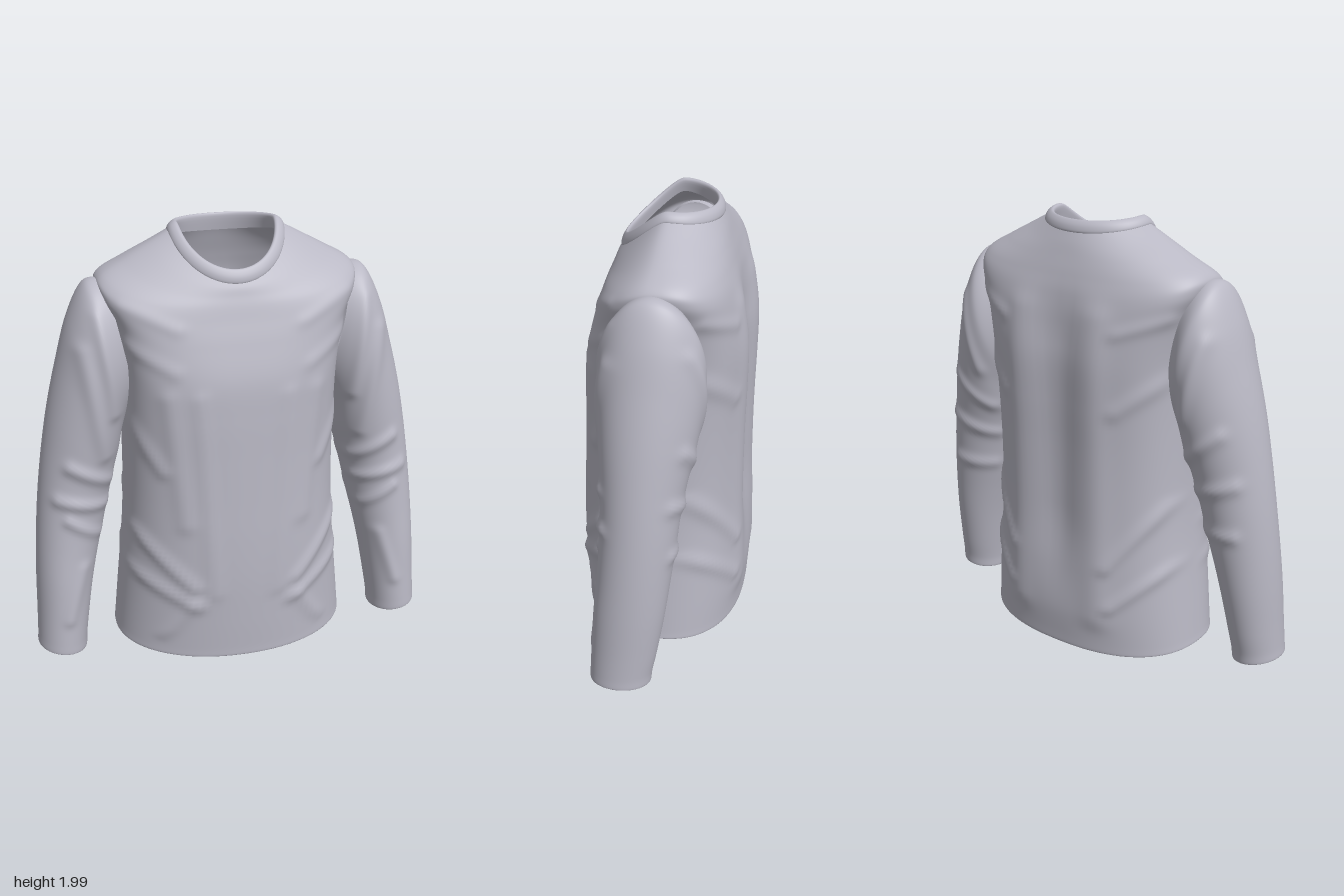
import * as THREE from 'three';

const SEG = 112;

// Smooth interpolation through the rows of a table, t from 0 to 1
function sampleRows(rows, t) {
  const f = t * (rows.length - 1);
  const i = Math.min(Math.floor(f), rows.length - 2);
  const u = f - i;
  const at = (k) => rows[Math.max(0, Math.min(rows.length - 1, k))];
  return rows[i].map((b, n) => {
    const a = at(i - 1)[n], c = at(i + 1)[n], d = at(i + 2)[n];
    return b + 0.5 * u * (c - a + u * (2 * a - 5 * b + 4 * c - d + u * (3 * (b - c) + d - a)));
  });
}

// Closed-ring surface through point(t, angle)
function loft(steps, point, flip = false) {
  const pos = [], idx = [];
  for (let i = 0; i <= steps; i++) {
    for (let j = 0; j < SEG; j++) pos.push(...point(i / steps, (j / SEG) * Math.PI * 2));
  }
  for (let i = 0; i < steps; i++) {
    for (let j = 0; j < SEG; j++) {
      const a = i * SEG + j, b = i * SEG + ((j + 1) % SEG);
      const c = a + SEG, d = b + SEG;
      if (flip) idx.push(a, b, c, b, d, c);
      else idx.push(a, c, b, b, c, d);
    }
  }
  const g = new THREE.BufferGeometry();
  g.setAttribute('position', new THREE.Float32BufferAttribute(pos, 3));
  g.setIndex(idx);
  g.computeVertexNormals();
  return g;
}

// Cloth folds: face (1 front, -1 back), x0, y0, x1, y1, width, height
const TORSO_FOLDS = [
  [1, 0.20, 1.30, 0.15, 0.35, 0.035, 0.008],
  [1, 0.33, 1.30, 0.27, 0.70, 0.04, 0.010],
  [1, 0.24, 0.38, 0.48, 0.62, 0.03, 0.014],
  [1, 0.22, 0.28, 0.50, 0.42, 0.03, 0.013],
  [1, 0.24, 0.30, 0.38, 0.10, 0.03, 0.010],
  [1, 0.36, 0.95, 0.49, 1.15, 0.03, 0.010],
  [1, 0.28, 1.60, 0.50, 1.70, 0.03, 0.008],
  [1, 0.30, 1.42, 0.49, 1.52, 0.03, 0.008],
  [-1, 0.20, 1.60, 0.22, 0.20, 0.07, 0.014],
  [-1, 0.26, 0.45, 0.48, 0.75, 0.03, 0.013],
  [-1, 0.28, 0.25, 0.50, 0.45, 0.03, 0.013],
  [-1, 0.30, 1.20, 0.49, 1.35, 0.035, 0.010],
  [-1, 0.30, 1.55, 0.50, 1.62, 0.03, 0.009],
];
const SLEEVE_FOLDS = [
  [1, 0.60, 1.65, 0.55, 1.20, 0.03, 0.012],
  [1, 0.68, 1.50, 0.60, 1.00, 0.035, 0.012],
  [1, 0.58, 0.86, 0.76, 0.96, 0.03, 0.016],
  [1, 0.60, 0.74, 0.82, 0.80, 0.028, 0.016],
  [1, 0.64, 0.60, 0.78, 0.70, 0.025, 0.013],
  [1, 0.72, 0.45, 0.80, 0.20, 0.03, 0.010],
  [-1, 0.56, 1.00, 0.74, 1.15, 0.03, 0.014],
  [-1, 0.58, 0.84, 0.80, 0.92, 0.03, 0.015],
  [-1, 0.62, 0.66, 0.80, 0.68, 0.03, 0.013],
  [-1, 0.66, 1.55, 0.57, 1.20, 0.03, 0.012],
];
function foldHeight(folds, x, y, s) {
  let h = 0;
  for (const [face, x0, y0, x1, y1, w, amp] of folds) {
    if (face * s <= 0) continue;
    const dx = x1 - x0, dy = y1 - y0;
    const u = Math.max(0, Math.min(1, ((x - x0) * dx + (y - y0) * dy) / (dx * dx + dy * dy)));
    const d = Math.hypot(x - x0 - u * dx, y - y0 - u * dy) / w;
    h += amp * Math.exp(-d * d) * Math.min(1, Math.abs(s) * 2);
  }
  return h;
}

// Body ring: half width, side y, side z, front y, front z, back y, back z, front and back roundness
function bodyRing([X, sY, sZ, fY, fZ, bY, bZ, ef = 1, eb = 1], a) {
  const c = Math.cos(a), s = Math.sin(a), e = s > 0 ? ef : eb;
  const w = (Math.sqrt(s * s + 0.03) - 0.1732) / 0.8417;
  return [
    X * Math.sign(c) * Math.abs(c) ** e,
    sY + ((s > 0 ? fY : bY) - sY) * w,
    sZ + ((s > 0 ? fZ : bZ) - sZ) * Math.abs(s) ** e,
  ];
}

const TORSO = [
  [0.548, 0.035, 0, 0.014, 0.372, 0.014, -0.367, 0.95, 0.85],
  [0.560, 0.030, 0, 0.008, 0.383, 0.008, -0.378, 0.95, 0.85],
  [0.556, 0.070, 0, 0.055, 0.385, 0.055, -0.382, 0.95, 0.85],
  [0.543, 0.20, 0, 0.20, 0.390, 0.20, -0.390, 0.95, 0.85],
  [0.522, 0.40, 0, 0.40, 0.393, 0.40, -0.385, 0.93, 0.82],
  [0.503, 0.60, 0, 0.60, 0.388, 0.60, -0.377, 0.90, 0.80],
  [0.493, 0.80, 0, 0.80, 0.378, 0.80, -0.375, 0.88, 0.78],
  [0.490, 1.00, 0, 1.00, 0.368, 1.00, -0.375, 0.85, 0.75],
  [0.490, 1.20, -0.01, 1.19, 0.358, 1.20, -0.378, 0.78, 0.72],
  [0.497, 1.40, -0.02, 1.36, 0.342, 1.40, -0.376, 0.70, 0.67],
  [0.530, 1.60, -0.03, 1.52, 0.300, 1.56, -0.355, 0.66, 0.65],
  [0.583, 1.73, -0.035, 1.62, 0.268, 1.68, -0.328, 0.70, 0.68],
  [0.570, 1.792, -0.035, 1.68, 0.249, 1.76, -0.302, 0.78, 0.75],
  [0.460, 1.857, -0.035, 1.72, 0.234, 1.83, -0.278, 0.88, 0.85],
  [0.340, 1.922, -0.03, 1.755, 0.221, 1.89, -0.256, 0.95, 0.95],
  [0.250, 1.970, -0.03, 1.785, 0.204, 1.945, -0.230, 1, 1],
];
function torsoPoint(t, a) {
  const [x, y, z] = bodyRing(sampleRows(TORSO, t), a);
  const s = Math.sin(a);
  const fade = THREE.MathUtils.smoothstep(y, 0.05, 0.15);
  const k = 1 + (foldHeight(TORSO_FOLDS, Math.abs(x), y, s) * fade) / Math.hypot(x, z);
  // hollow down the middle of the back
  const hollow = s < 0
    ? 0.035 * Math.exp(-((x / 0.1) ** 2)) * THREE.MathUtils.smoothstep(y, 0.15, 0.7)
      * (1 - THREE.MathUtils.smoothstep(y, 1.45, 1.8)) : 0;
  return [x * k, y, z * k + hollow];
}

const COLLAR = [
  [0.252, 1.955, -0.03, 1.768, 0.198, 1.928, -0.228],
  [0.262, 1.966, -0.03, 1.774, 0.212, 1.936, -0.239],
  [0.250, 1.988, -0.03, 1.802, 0.209, 1.964, -0.232],
  [0.228, 2.000, -0.03, 1.831, 0.192, 1.984, -0.213],
  [0.214, 1.988, -0.03, 1.818, 0.181, 1.968, -0.203],
  [0.222, 1.940, -0.03, 1.768, 0.186, 1.905, -0.211],
];

// Sleeve ring: outer x, y, inner x, y, front z, back z
const SLEEVE = [
  [0.555, 1.772, 0.440, 1.22, 0.150, -0.200],
  [0.640, 1.757, 0.470, 1.16, 0.190, -0.250],
  [0.718, 1.61, 0.495, 1.08, 0.196, -0.250],
  [0.780, 1.40, 0.515, 0.98, 0.190, -0.232],
  [0.830, 1.20, 0.540, 0.89, 0.180, -0.205],
  [0.868, 1.00, 0.570, 0.77, 0.170, -0.178],
  [0.897, 0.80, 0.605, 0.62, 0.170, -0.160],
  [0.918, 0.60, 0.640, 0.48, 0.180, -0.140],
  [0.932, 0.40, 0.672, 0.33, 0.195, -0.118],
  [0.940, 0.20, 0.700, 0.16, 0.205, -0.088],
  [0.945, 0.09, 0.714, 0.06, 0.210, -0.068],
  [0.948, 0.042, 0.718, 0.008, 0.211, -0.062],
  [0.938, 0.048, 0.728, 0.015, 0.201, -0.052],
];
function sleevePoint(side, t, a) {
  const [ox, oy, ix, iy, zf, zb] = sampleRows(SLEEVE, t);
  const c = Math.cos(a), s = Math.sin(a);
  const x = (ox + ix) / 2 + ((ox - ix) / 2) * c;
  const y = (oy + iy) / 2 + ((oy - iy) / 2) * c;
  const h = foldHeight(SLEEVE_FOLDS, x, y, s) * THREE.MathUtils.smoothstep(t, 0.02, 0.12);
  return [side * (x + h * c * 0.6), y, (zf + zb) / 2 + ((zf - zb) / 2 + h) * s];
}

export function createModel() {
  const group = new THREE.Group();
  const cloth = new THREE.MeshStandardMaterial({ color: 0xb9b8c4, side: THREE.DoubleSide });
  cloth.name = 'pale grey cloth';

  const add = (name, geometry) => {
    const mesh = new THREE.Mesh(geometry, cloth);
    mesh.name = name;
    group.add(mesh);
  };

  add('torso', loft(150, torsoPoint));
  add('collar', loft(20, (t, a) => bodyRing(sampleRows(COLLAR, t), a)));
  add('leftSleeve', loft(120, (t, a) => sleevePoint(1, t, a), true));
  add('rightSleeve', loft(120, (t, a) => sleevePoint(-1, t, a)));
  return group;
}
